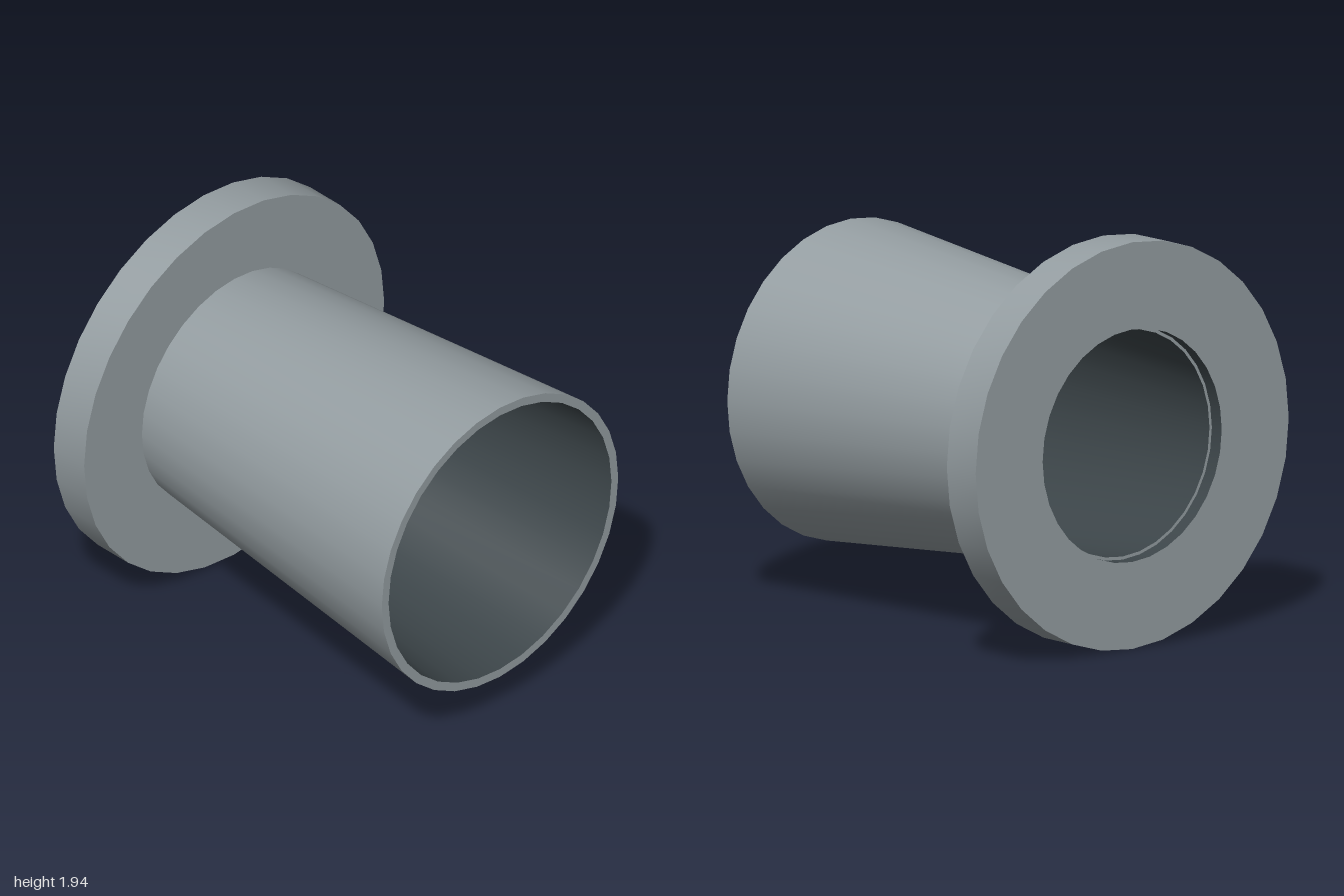
import * as THREE from 'three';
import { toCreasedNormals } from 'three/addons/utils/BufferGeometryUtils.js';

const SIDES = 32;
const AXIS_HEIGHT = 0.972;

// Surface turned around the z axis from a [radius, z] outline
function turnedSurface(name, outline, color) {
  const points = outline.map(([r, z]) => new THREE.Vector2(r, z));
  const geometry = new THREE.LatheGeometry(points, SIDES);
  geometry.rotateX(Math.PI / 2);
  const material = new THREE.MeshStandardMaterial({ color });
  const mesh = new THREE.Mesh(toCreasedNormals(geometry, 0.6), material);
  mesh.name = name;
  return mesh;
}

// Hollow ring: grey outside with both end faces, and a dark bore
function hollowRing(name, outerBack, outerFront, innerFront, innerBack) {
  const ring = new THREE.Group();
  ring.name = name;
  ring.position.y = AXIS_HEIGHT;
  ring.add(
    turnedSurface(name + 'Shell', [innerBack, outerBack, outerFront, innerFront], 0x959ea2),
    turnedSurface(name + 'Bore', [innerFront, innerBack], 0x3d464a),
  );
  return ring;
}

export function createModel() {
  const model = new THREE.Group();
  model.name = 'flangedTube';

  // Flat mounting ring at the back
  model.add(hollowRing('flange', [0.972, -1], [0.972, -0.795], [0.556, -0.795], [0.556, -1]));

  // Thin-walled tube widening to the front, seated partway into the flange
  model.add(hollowRing('taperedTube', [0.585, -0.93], [0.766, 1], [0.722, 1], [0.541, -0.93]));

  return model;
}
